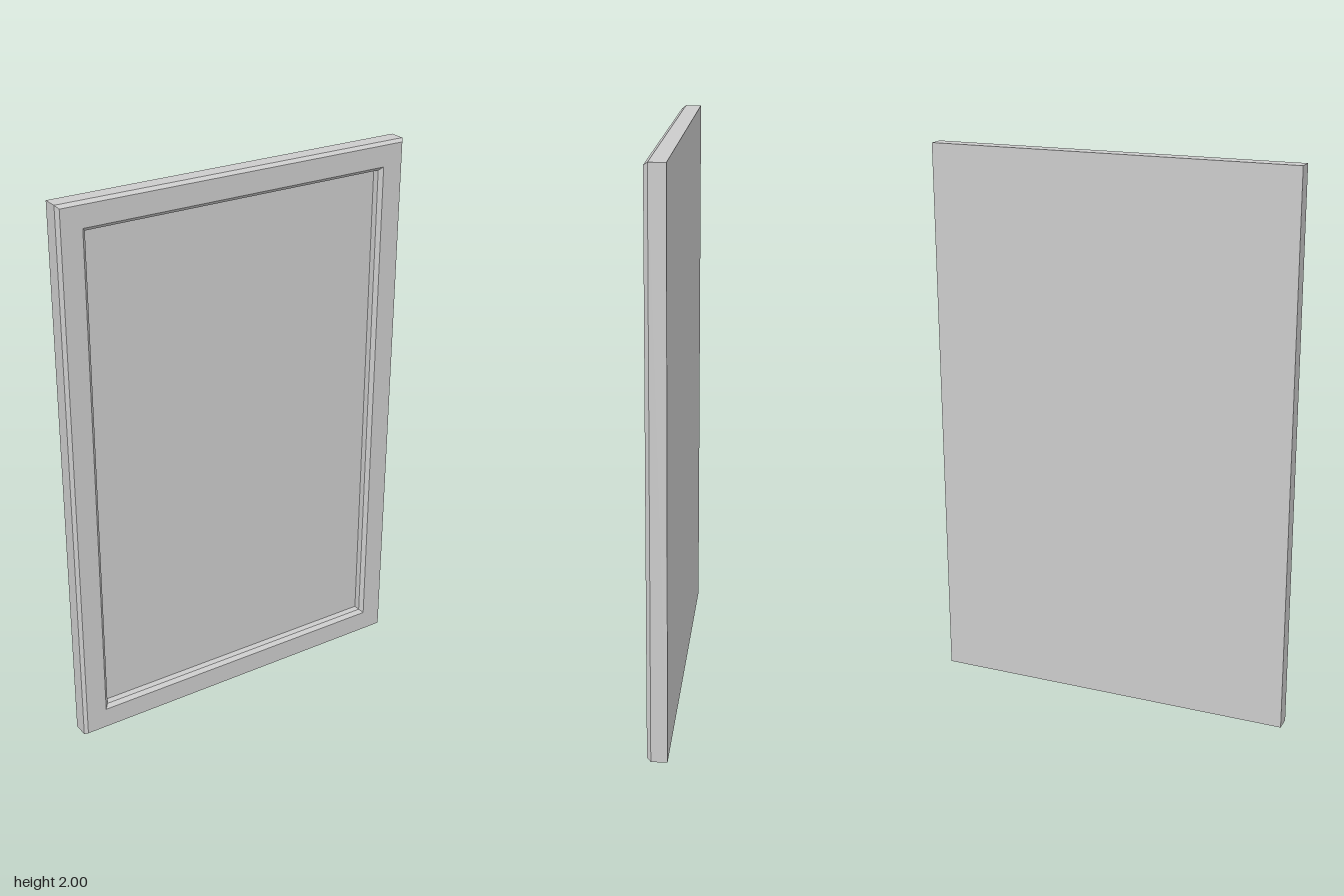
import * as THREE from 'three';

const HALF_W = 0.665, HALF_H = 1, BACK = -0.035, PANEL_Z = -0.003;

// Mitred rectangular frame swept from a profile of [inset from outer edge, z]
function mitredFrame(profile) {
  const corners = [[-1, -1], [1, -1], [1, 1], [-1, 1]];
  const point = ([inset, z], [sx, sy]) => [sx * (HALF_W - inset), HALF_H + sy * (HALF_H - inset), z];
  const positions = [];
  for (let i = 0; i < profile.length - 1; i++) {
    for (let j = 0; j < 4; j++) {
      const c0 = corners[j], c1 = corners[(j + 1) % 4];
      const a = point(profile[i], c0), b = point(profile[i], c1);
      const c = point(profile[i + 1], c1), d = point(profile[i + 1], c0);
      positions.push(...a, ...b, ...c, ...a, ...c, ...d);
    }
  }
  const geometry = new THREE.BufferGeometry();
  geometry.setAttribute('position', new THREE.Float32BufferAttribute(positions, 3));
  geometry.computeVertexNormals();
  return geometry;
}

export function createModel() {
  const group = new THREE.Group();
  group.name = 'framedPanel';
  const material = new THREE.MeshStandardMaterial({ color: 0xcccccc });
  const add = (name, geometry) => {
    const mesh = new THREE.Mesh(geometry, material);
    mesh.name = name;
    group.add(mesh);
    return mesh;
  };

  // Frame: outer side, outer chamfer, front face, inner chamfer, recess wall
  const recess = 0.099;
  add('frame', mitredFrame([
    [0, BACK], [0, 0.021], [0.01, 0.035],
    [0.086, 0.035], [recess, 0.022], [recess, PANEL_Z],
  ]));

  // Recessed centre panel
  add('centrePanel', new THREE.PlaneGeometry(2 * (HALF_W - recess), 2 * (HALF_H - recess)))
    .position.set(0, HALF_H, PANEL_Z);

  // Flat back
  const back = add('back', new THREE.PlaneGeometry(2 * HALF_W, 2 * HALF_H));
  back.rotation.y = Math.PI;
  back.position.set(0, HALF_H, BACK);

  return group;
}
